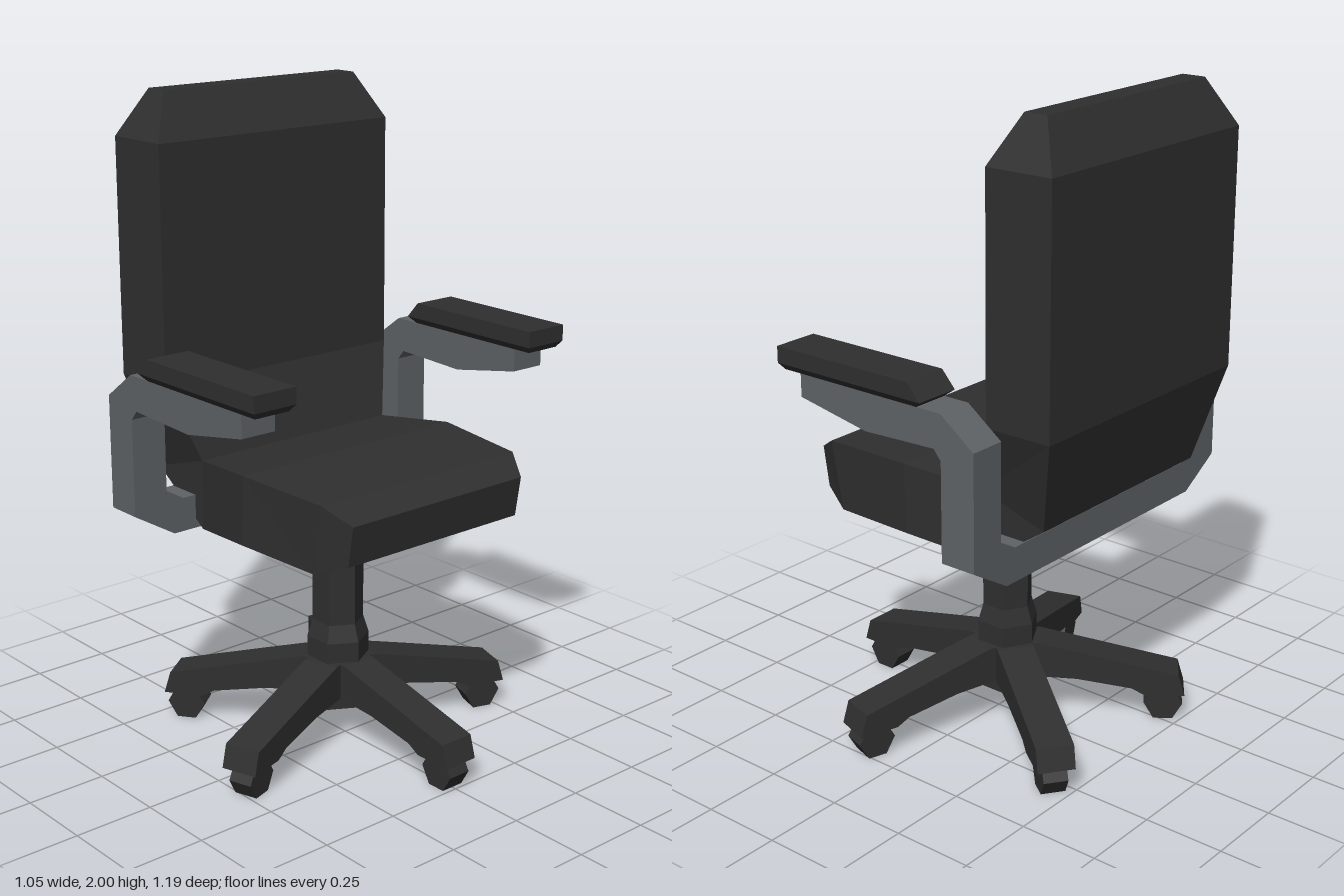
import * as THREE from 'three';

const black = new THREE.MeshStandardMaterial({ name: 'black upholstery', color: 0x2f2f2f, flatShading: true });
const grey = new THREE.MeshStandardMaterial({ name: 'grey frame', color: 0x5e6366, flatShading: true });

// Skin a list of rings (counter-clockwise seen from the far end) and cap both ends
function loft(rings) {
  const n = rings[0].length, pos = [];
  const tri = (...pts) => pts.forEach((p) => pos.push(...p));
  for (let r = 0; r < rings.length - 1; r++) {
    const a = rings[r], b = rings[r + 1];
    for (let i = 0; i < n; i++) {
      const j = (i + 1) % n;
      tri(a[i], a[j], b[j]);
      tri(a[i], b[j], b[i]);
    }
  }
  const first = rings[0], last = rings[rings.length - 1];
  for (let i = 1; i < n - 1; i++) {
    tri(first[0], first[i + 1], first[i]);
    tri(last[0], last[i], last[i + 1]);
  }
  const g = new THREE.BufferGeometry();
  g.setAttribute('position', new THREE.Float32BufferAttribute(pos, 3));
  g.computeVertexNormals();
  return g;
}

function extrude(points, depth) {
  const shape = new THREE.Shape(points.map(([x, y]) => new THREE.Vector2(x, y)));
  return new THREE.ExtrudeGeometry(shape, { depth, bevelEnabled: false });
}

function add(parent, name, geometry, material) {
  const mesh = new THREE.Mesh(geometry, material);
  mesh.name = name;
  parent.add(mesh);
  return mesh;
}

export function createModel() {
  const chair = new THREE.Group();
  chair.name = 'officeChair';

  // Seat and backrest: one cushion, [upper x, y, lower x, y, half width]
  const sections = [
    [0.415, 0.88, 0.395, 0.755, 0.33],
    [0.335, 0.93, 0.295, 0.718, 0.375],
    [0.02, 0.945, 0.01, 0.73, 0.405],
    [-0.235, 0.918, -0.24, 0.7, 0.36],
    [-0.235, 0.918, -0.455, 0.848, 0.36],
    [-0.31, 1.14, -0.528, 1.14, 0.433],
    [-0.31, 1.86, -0.528, 1.86, 0.433],
    [-0.38, 2, -0.455, 2, 0.36],
  ];
  add(chair, 'seatAndBackrest', loft(sections.map(([ux, uy, lx, ly, w]) =>
    [[ux, uy, w], [ux, uy, -w], [lx, ly, -w], [lx, ly, w]])), black);

  // U-shaped bar passing under the cushion, drawn in z and y
  const halfBar = [[0.44, 0.695], [0.58, 0.78], [0.58, 1.08], [0.465, 1.08], [0.465, 0.835], [0.405, 0.8]];
  const mirrored = halfBar.map(([z, y]) => [-z, y]).reverse();
  const bar = extrude([...halfBar, ...mirrored], 0.115);
  bar.rotateY(Math.PI / 2).translate(-0.39, 0, 0);
  add(chair, 'armFrame', bar, grey);

  // Arm supports and pads
  const support = [[-0.39, 1.08], [-0.275, 1.08], [-0.25, 1.11], [0, 1.1], [0.245, 1.145],
    [0.245, 1.215], [-0.275, 1.215], [-0.39, 1.13]];
  const padLevels = [[1.215, -0.19, 0.305, 0.0575], [1.235, -0.215, 0.32, 0.0725], [1.285, -0.17, 0.32, 0.0725]];
  for (const [side, s] of [['left', 1], ['right', -1]]) {
    const c = 0.5225 * s;
    add(chair, side + 'ArmSupport', extrude(support, 0.115).translate(0, 0, c - 0.0575), grey);
    add(chair, side + 'ArmPad', loft(padLevels.map(([y, x0, x1, w]) =>
      [[x1, y, c + w], [x1, y, c - w], [x0, y, c - w], [x0, y, c + w]])), black);
  }

  // Swivel base: hexagonal column with a flared hub
  const base = new THREE.Group();
  base.name = 'base';
  base.position.x = -0.035;
  chair.add(base);
  const hex = (top, bottom, y0, y1) =>
    new THREE.CylinderGeometry(top, bottom, y1 - y0, 6).rotateY(Math.PI / 2).translate(0, (y0 + y1) / 2, 0);
  add(base, 'column', hex(0.08, 0.08, 0.38, 0.74), black);
  add(base, 'columnFlare', hex(0.08, 0.097, 0.325, 0.38), black);
  add(base, 'hub', hex(0.097, 0.097, 0.105, 0.325), black);

  // Five legs with hexagonal casters
  const legProfile = [[0, 0.15], [0.22, 0.14], [0.39, 0.112], [0.43, 0.09], [0.555, 0.09],
    [0.535, 0.16], [0.245, 0.227], [0.1, 0.26], [0, 0.262]];
  const legGeometry = extrude(legProfile, 0.115).translate(0, 0, -0.0575);
  const wheelGeometry = new THREE.CylinderGeometry(0.06, 0.06, 0.075, 6)
    .rotateY(Math.PI / 2).rotateX(Math.PI / 2).translate(0.49, 0.052, 0);
  for (let i = 0; i < 5; i++) {
    const leg = new THREE.Group();
    leg.name = 'leg' + (i + 1);
    leg.rotation.y = (i * Math.PI * 2) / 5;
    add(leg, 'legArm', legGeometry, black);
    add(leg, 'caster', wheelGeometry, black);
    base.add(leg);
  }
  return chair;
}
